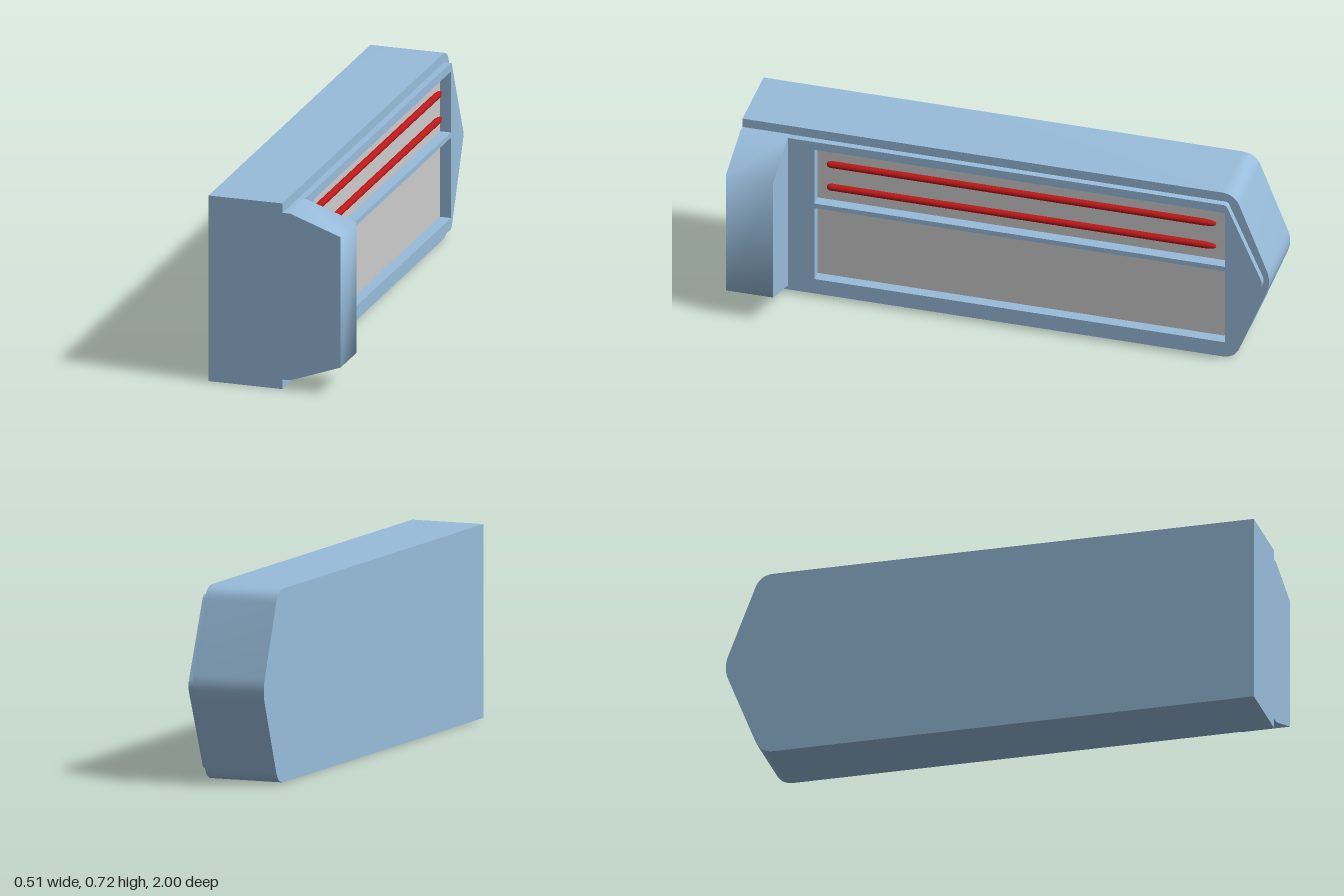
import * as THREE from 'three';
import { toCreasedNormals } from 'three/addons/utils/BufferGeometryUtils.js';

const blue = new THREE.MeshStandardMaterial({ color: 0x98bcdb });
const grey = new THREE.MeshStandardMaterial({ color: 0xcccccc });
const red = new THREE.MeshStandardMaterial({ color: 0xc01818 });

const MID = 0.358; // half of the height
const FLOOR = 0.01; // x of the pocket floors
// pockets: back end, front end (as -z), bottom and top
const POCKETS = [
  { s0: -0.72, s1: 0.84, y0: 0.08, y1: 0.39 },
  { s0: -0.72, s1: 0.84, y0: 0.41, y1: 0.645 },
];

// Slab outline in (-z, y): square at one end, pointed with softened corners at the other
function outline(half, shoulder, tip, shoulderTrim, tipTrim) {
  const y0 = MID - half, y1 = MID + half;
  const len = Math.hypot(tip - shoulder, half);
  const dx = (tip - shoulder) / len, dy = half / len;
  const s = new THREE.Shape();
  s.moveTo(-1, y0);
  s.lineTo(shoulder - shoulderTrim, y0);
  s.quadraticCurveTo(shoulder, y0, shoulder + dx * shoulderTrim, y0 + dy * shoulderTrim);
  s.lineTo(tip - dx * tipTrim, MID - dy * tipTrim);
  s.quadraticCurveTo(tip, MID, tip - dx * tipTrim, MID + dy * tipTrim);
  s.lineTo(shoulder + dx * shoulderTrim, y1 - dy * shoulderTrim);
  s.quadraticCurveTo(shoulder, y1, shoulder - shoulderTrim, y1);
  s.lineTo(-1, y1);
  s.closePath();
  return s;
}

function addPockets(shape) {
  for (const { s0, s1, y0, y1 } of POCKETS) {
    const h = new THREE.Path();
    h.moveTo(s0, y0);
    h.lineTo(s0, y1);
    h.lineTo(s1, y1);
    h.lineTo(s1, y0);
    h.closePath();
    shape.holes.push(h);
  }
  return shape;
}

// Extrude a (-z, y) shape from x0 to x1
function slab(name, shape, x0, x1) {
  let g = new THREE.ExtrudeGeometry(shape, { depth: x1 - x0, bevelEnabled: false, curveSegments: 8 });
  g.rotateY(Math.PI / 2).translate(x0, 0, 0);
  g = toCreasedNormals(g, 0.5);
  const m = new THREE.Mesh(g, blue);
  m.name = name;
  return m;
}

export function createModel() {
  const group = new THREE.Group();

  // Main body, with the pockets sunk through its upper layer and the raised face plate
  const body = () => outline(MID, 0.87, 1.01, 0.05, 0.05);
  const plate = () => outline(0.321, 0.845, 0.985, 0.012, 0.025);
  group.add(slab('body', body(), -0.255, FLOOR));
  group.add(slab('bodyRim', addPockets(body()), FLOOR, 0.03));
  group.add(slab('facePlate', addPockets(plate()), 0.03, 0.055));

  // Grey floors of the pockets
  for (const { s0, s1, y0, y1 } of POCKETS) {
    const floor = new THREE.Mesh(new THREE.BoxGeometry(0.004, y1 - y0, s1 - s0), grey);
    floor.position.set(FLOOR, (y0 + y1) / 2, -(s0 + s1) / 2);
    floor.name = 'pocketFloor';
    group.add(floor);
  }

  // Tapered end block, smooth over its sloped sides
  const e = new THREE.Shape([
    [0.03, 0.037], [0.06, 0.037], [0.255, 0.107], [0.255, 0.61], [0.06, 0.68], [0.03, 0.68],
  ].map(([x, y]) => new THREE.Vector2(x, y)));
  const endGeo = toCreasedNormals(
    new THREE.ExtrudeGeometry(e, { depth: 0.18, bevelEnabled: false }), 1.3);
  const endBlock = new THREE.Mesh(endGeo, blue);
  endBlock.position.z = 0.82;
  endBlock.name = 'endBlock';
  group.add(endBlock);

  // Red rods: rounded at the front, tapered at the back
  const profile = [
    [0, -0.68], [0.008, -0.677], [0.013, -0.668], [0.013, 0.755], [0.011, 0.78], [0.007, 0.796], [0, 0.8],
  ].map(([r, y]) => new THREE.Vector2(r, y));
  const rodGeo = new THREE.LatheGeometry(profile, 20).rotateX(-Math.PI / 2);
  for (const y of [0.475, 0.574]) {
    const rod = new THREE.Mesh(rodGeo, red);
    rod.position.set(0.028, y, 0);
    rod.name = 'rod';
    group.add(rod);
  }
  return group;
}
